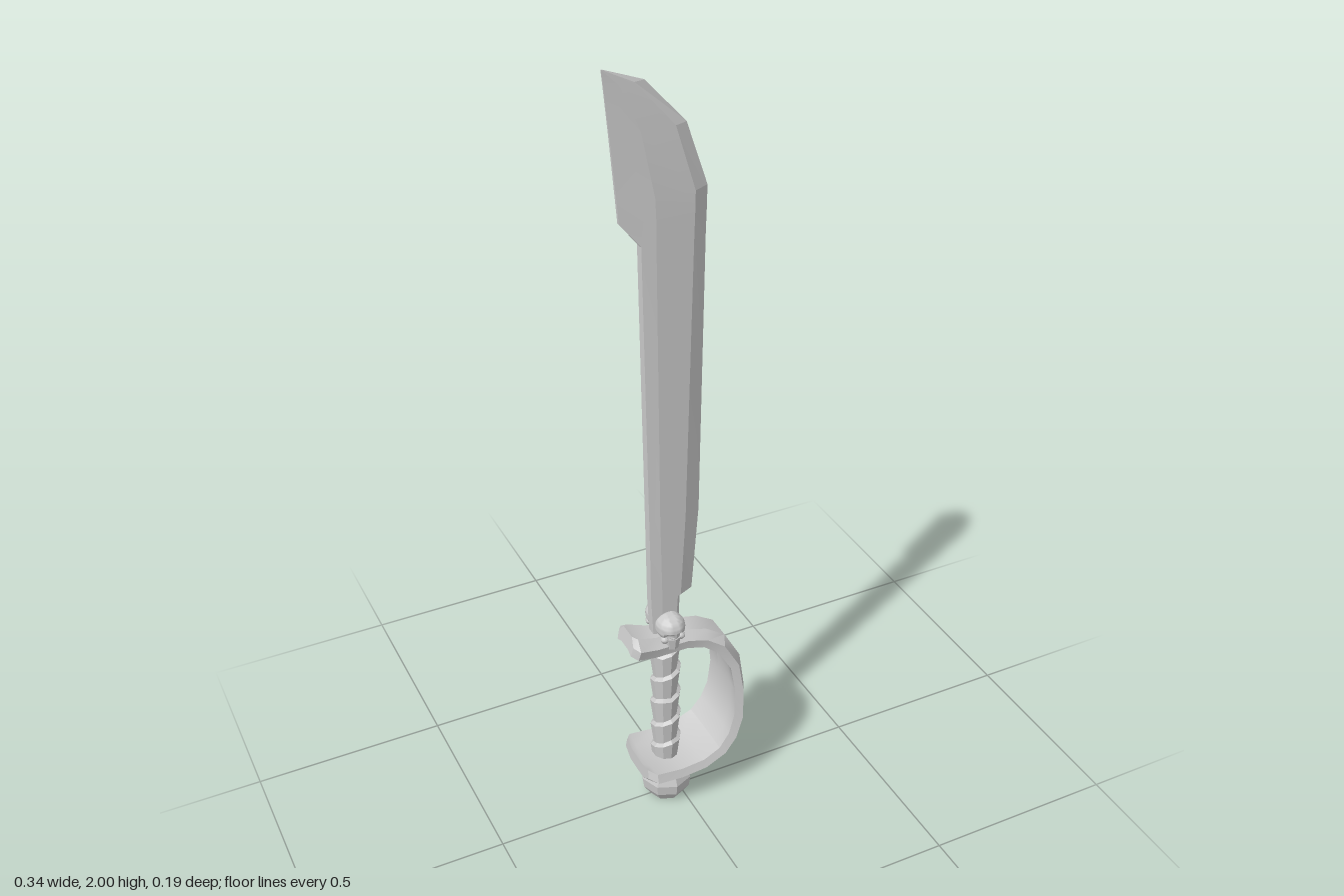
import * as THREE from 'three';
import { toCreasedNormals } from 'three/addons/utils/BufferGeometryUtils.js';

const AXIS = -0.035; // x of the grip, pommel and skulls
const material = new THREE.MeshStandardMaterial({ color: 0xcccccc });

function part(name, geometry, crease = 0.5) {
  const mesh = new THREE.Mesh(toCreasedNormals(geometry, crease), material);
  mesh.name = name;
  return mesh;
}

// Skin a list of equal-length closed rings of [x, y, z], capped at both ends
function loft(rings) {
  const n = rings[0].length;
  const points = rings.flat().map((p) => new THREE.Vector3(...p));
  const index = [];
  for (let i = 0; i < rings.length - 1; i++) {
    for (let j = 0; j < n; j++) {
      const a = i * n + j, b = i * n + ((j + 1) % n);
      index.push(a, b, a + n, b, b + n, a + n);
    }
  }
  const last = (rings.length - 1) * n;
  for (let j = 1; j < n - 1; j++) {
    index.push(0, j + 1, j, last, last + j, last + j + 1);
  }
  // Turn the faces outward whichever way the rings run
  let volume = 0;
  for (let i = 0; i < index.length; i += 3) {
    const [a, b, c] = [0, 1, 2].map((k) => points[index[i + k]]);
    volume += a.dot(b.clone().cross(c));
  }
  if (volume < 0) index.reverse();
  const geometry = new THREE.BufferGeometry().setFromPoints(points);
  geometry.setIndex(index);
  return geometry;
}

// Blade: blunt spine, flat cheeks and a sharp cutting edge
function createBlade() {
  // y, spine x, cheek start x, cheek end x, edge x, spine half, cheek half
  const stations = [
    [0.52, -0.072, -0.05, -0.015, 0.0, 0.012, 0.016],
    [0.645, -0.078, -0.05, -0.008, 0.005, 0.012, 0.017],
    [0.647, -0.078, -0.05, 0.0, 0.037, 0.012, 0.017],
    [0.88, -0.081, -0.055, 0.012, 0.055, 0.012, 0.018],
    [1.6, -0.092, -0.06, 0.03, 0.067, 0.011, 0.019],
    [1.66, -0.14, -0.06, 0.032, 0.069, 0.004, 0.019],
    [1.71, -0.144, -0.062, 0.033, 0.07, 0.004, 0.019],
    [1.86, -0.157, -0.09, -0.01, 0.02, 0.003, 0.012],
    [1.965, -0.167, -0.135, -0.1, -0.075, 0.002, 0.005],
    [2.0, -0.171, -0.1705, -0.17, -0.169, 0.001, 0.001],
  ];
  return part('blade', loft(stations.map(([y, s, a, b, e, ts, t]) => [
    [s, y, ts], [a, y, t], [b, y, t], [e, y, 0.001],
    [e, y, -0.001], [b, y, -t], [a, y, -t], [s, y, -ts],
  ])), 0.12);
}

// Knuckle guard: a bevelled band that broadens towards the pommel
function createGuard() {
  // outer x, outer y, inner x, inner y, half width
  const stations = [
    [-0.137, 0.567, -0.148, 0.52, 0.042],
    [-0.125, 0.561, -0.134, 0.513, 0.06],
    [-0.075, 0.544, -0.08, 0.497, 0.05],
    [0.01, 0.54, 0.005, 0.495, 0.048],
    [0.065, 0.525, 0.05, 0.485, 0.053],
    [0.115, 0.492, 0.088, 0.457, 0.06],
    [0.157, 0.415, 0.12, 0.4, 0.068],
    [0.169, 0.32, 0.13, 0.325, 0.076],
    [0.165, 0.23, 0.125, 0.25, 0.083],
    [0.142, 0.172, 0.108, 0.2, 0.088],
    [0.105, 0.13, 0.08, 0.163, 0.091],
    [0.04, 0.102, 0.035, 0.142, 0.093],
    [-0.03, 0.097, -0.03, 0.137, 0.094],
    [-0.1, 0.1, -0.1, 0.145, 0.094],
    [-0.119, 0.105, -0.117, 0.15, 0.07],
  ];
  const rings = stations.map(([ox, oy, ix, iy, w]) => {
    const at = (f, z) => [ox + (ix - ox) * f, oy + (iy - oy) * f, z * w];
    return [
      at(0, -0.55), at(0, 0.55), at(0.45, 1), at(1, 0.92),
      at(0.85, 0.45), at(0.85, -0.45), at(1, -0.92), at(0.45, -1),
    ];
  });
  return part('knuckleGuard', loft(rings), 0.42);
}

// Grip: an overlapping leather strip wound around the handle
function createGrip() {
  const geometry = new THREE.CylinderGeometry(1, 1, 0.38, 10, 48);
  const p = geometry.attributes.position;
  for (let i = 0; i < p.count; i++) {
    const x = p.getX(i), y = p.getY(i), z = p.getZ(i);
    const turn = (y + 0.19) / 0.075 + Math.atan2(z, x) / (Math.PI * 2) + 0.01;
    const r = 0.031 + 0.009 * (turn - Math.floor(turn));
    p.setXYZ(i, x * r, y, z * r);
  }
  const grip = part('grip', geometry, 0.4);
  grip.position.set(AXIS, 0.32, 0);
  return grip;
}

// Pommel: a faceted knob with a collar under the guard
function createPommel() {
  const profile = [[0, 0], [0.045, 0], [0.064, 0.03], [0.068, 0.06], [0.056, 0.095], [0, 0.105]]
    .map(([r, y]) => new THREE.Vector2(r, y));
  const pommel = part('pommel', new THREE.LatheGeometry(profile, 8), 0.1);
  pommel.position.x = AXIS;
  return pommel;
}

// Skull ornament facing +z, with pressed-in eye sockets and a jaw
function createSkull() {
  const skull = new THREE.Group();
  const cranium = new THREE.SphereGeometry(1, 28, 20);
  const p = cranium.attributes.position;
  for (let i = 0; i < p.count; i++) {
    const x = p.getX(i), y = p.getY(i), z = p.getZ(i);
    let press = 0;
    if (z > 0) {
      for (const side of [-1, 1]) {
        const d = Math.hypot(x - side * 0.4, y + 0.35);
        press = Math.max(press, 0.3 * Math.max(0, 1 - (d / 0.34) ** 2));
      }
    }
    p.setXYZ(i, x * 0.037, y * 0.035, (z - press) * 0.04);
  }
  const head = part('cranium', cranium, 0.7);
  head.position.set(0, 0.571, 0.028);
  const jaw = part('jaw', new THREE.CylinderGeometry(0.023, 0.017, 0.034, 8), 0.6);
  jaw.position.set(0, 0.53, 0.038);
  skull.add(head, jaw);
  for (const side of [-1, 1]) {
    const cheek = part('cheekbone', new THREE.SphereGeometry(0.011, 10, 8), 0.7);
    cheek.position.set(side * 0.022, 0.544, 0.043);
    skull.add(cheek);
  }
  return skull;
}

export function createModel() {
  const sword = new THREE.Group();
  sword.name = 'cutlass';
  sword.add(createBlade(), createGuard(), createGrip(), createPommel());
  // One skull on each face of the crossguard
  ['frontSkull', 'backSkull'].forEach((name, i) => {
    const skull = createSkull();
    skull.name = name;
    skull.position.x = AXIS;
    skull.rotation.y = i * Math.PI;
    sword.add(skull);
  });
  return sword;
}
